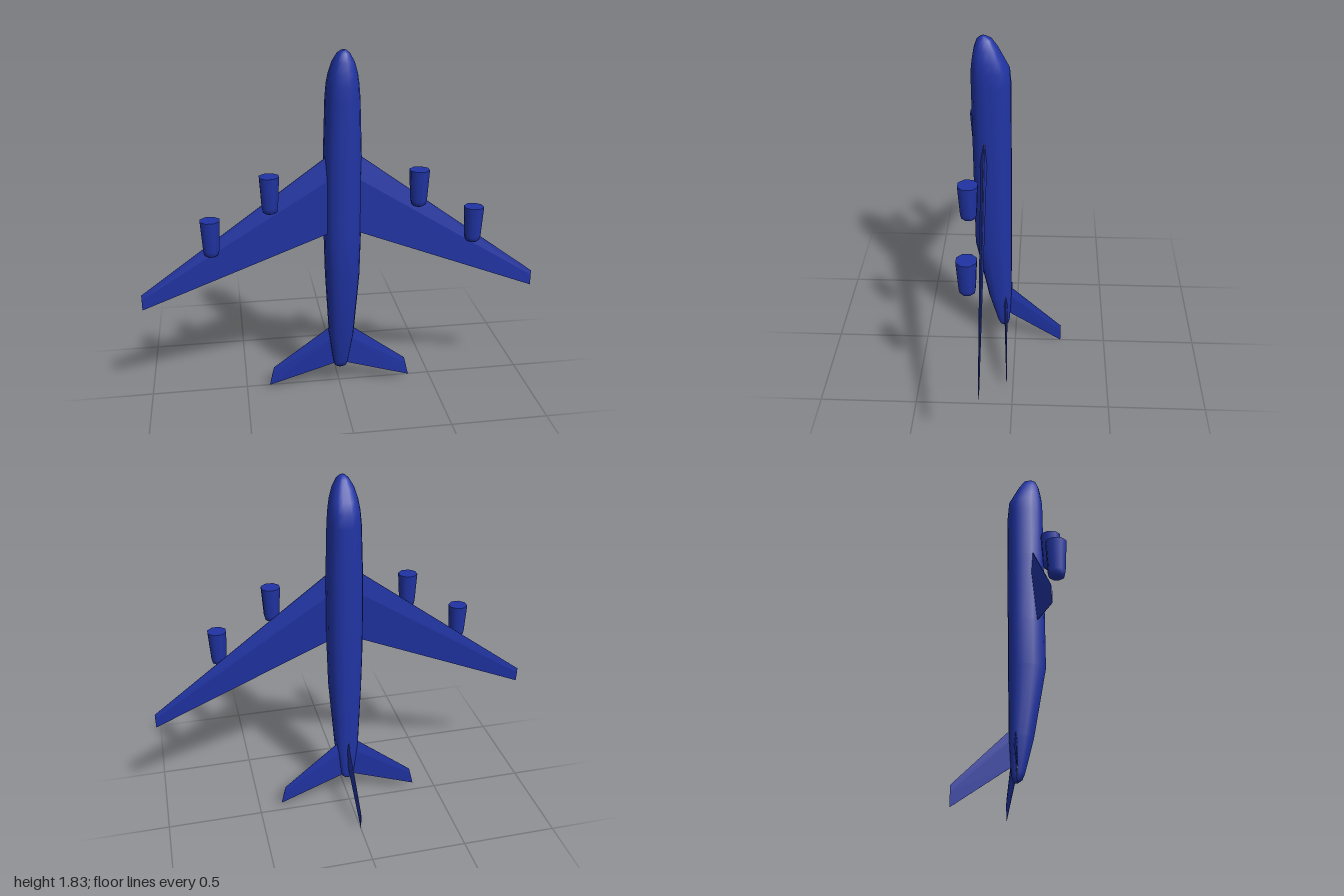
import * as THREE from 'three';

const material = new THREE.MeshStandardMaterial({ color: 0x2034a4 });

// Skin a list of equal-sized rings of points, with closed ends.
function loft(name, rings, smooth) {
  const n = rings[0].length;
  const pts = rings.flat();
  const index = [];
  for (let r = 0; r < rings.length - 1; r++) {
    for (let i = 0; i < n; i++) {
      const a = r * n + i, b = r * n + (i + 1) % n;
      index.push(a, b, b + n, a, b + n, a + n);
    }
  }
  const last = (rings.length - 1) * n;
  for (let i = 1; i < n - 1; i++) {
    index.push(0, i + 1, i, last, last + i, last + i + 1);
  }
  // Turn the faces outward if the enclosed volume comes out negative.
  let volume = 0;
  for (let i = 0; i < index.length; i += 3) {
    const [a, b, c] = [0, 1, 2].map((k) => new THREE.Vector3(...pts[index[i + k]]));
    volume += a.dot(b.cross(c));
  }
  if (volume < 0) index.reverse();
  let geometry = new THREE.BufferGeometry();
  geometry.setAttribute('position', new THREE.Float32BufferAttribute(pts.flat(), 3));
  geometry.setIndex(index);
  if (!smooth) geometry = geometry.toNonIndexed();
  geometry.computeVertexNormals();
  const mesh = new THREE.Mesh(geometry, material);
  mesh.name = name;
  return mesh;
}

// Thin section between a leading and trailing edge, thickened along one axis.
function foil(lead, trail, thickness, axis) {
  const at = (t, side) => lead.map((v, k) =>
    v + (trail[k] - v) * t + (k === axis ? side * thickness / 2 : 0));
  return [at(0, 0.15), at(0.3, 1), at(1, 0.1), at(1, -0.1), at(0.3, -1), at(0, -0.15)];
}

function createFuselage() {
  // y, half width, back z, belly z
  const stations = [
    [1.83, 0.012, 0.133, 0.157],
    [1.815, 0.03, 0.105, 0.175],
    [1.775, 0.053, 0.078, 0.19],
    [1.72, 0.069, 0.05, 0.2],
    [1.67, 0.077, 0.024, 0.206],
    [1.6, 0.083, 0.018, 0.207],
    [1.32, 0.092, 0.017, 0.207],
    [0.94, 0.092, 0.017, 0.207],
    [0.7, 0.086, 0.018, 0.207],
    [0.34, 0.064, 0.02, 0.142],
    [0.17, 0.039, 0.03, 0.098],
    [0.14, 0.032, 0.036, 0.085],
    [0.125, 0.016, 0.045, 0.065],
  ];
  const sides = 16;
  const rings = stations.map(([y, w, z0, z1]) => Array.from({ length: sides }, (_, i) => {
    const a = ((i + 0.5) / sides) * Math.PI * 2;
    // Slightly squared oval
    const sq = (v) => Math.sign(v) * Math.abs(v) ** 0.82;
    return [w * sq(Math.cos(a)), y, (z0 + z1) / 2 + ((z1 - z0) / 2) * sq(Math.sin(a))];
  }));
  return loft('fuselage', rings, true);
}

function createEngine(name, x, y, z) {
  const profile = [
    [0, 0], [0.024, 0], [0.036, 0.008], [0.041, 0.03], [0.049, 0.165], [0.05, 0.182],
  ].map(([r, h]) => new THREE.Vector2(r, h));
  const engine = new THREE.Group();
  engine.name = name;
  const nacelle = new THREE.Mesh(new THREE.LatheGeometry(profile, 8, Math.PI / 8), material);
  nacelle.name = 'nacelle';
  const intake = new THREE.Mesh(new THREE.CircleGeometry(0.05, 8, Math.PI / 8), material);
  intake.name = 'intake';
  intake.rotation.x = -Math.PI / 2;
  intake.position.y = 0.182;
  engine.add(nacelle, intake);
  engine.position.set(x, y, z);
  return engine;
}

export function createModel() {
  const model = new THREE.Group();
  model.name = 'airliner';
  model.add(createFuselage());

  for (const s of [1, -1]) {
    const side = s > 0 ? 'left' : 'right';

    // Swept main wing
    model.add(loft(side + 'Wing', [
      foil([s * 0.04, 1.357, 0.146], [s * 0.04, 0.955, 0.164], 0.034, 2),
      foil([s, 0.65, 0.12], [s, 0.57, 0.124], 0.006, 2),
    ]));

    // Tailplane
    model.add(loft(side + 'Tailplane', [
      foil([s * 0.02, 0.388, 0.052], [s * 0.02, 0.147, 0.054], 0.018, 2),
      foil([s * 0.355, 0.13, 0.032], [s * 0.38, 0.025, 0.034], 0.005, 2),
    ]));

    // Engines under the wing
    model.add(createEngine(side + 'InnerEngine', s * 0.36, 1.08, 0.203));
    model.add(createEngine(side + 'OuterEngine', s * 0.645, 0.872, 0.191));
  }

  // Vertical fin
  model.add(loft('fin', [
    foil([0, 0.41, 0.055], [0, 0.215, 0.055], 0.014, 0),
    foil([0, 0.11, -0.255], [0, 0.005, -0.255], 0.006, 0),
  ]));
  return model;
}
